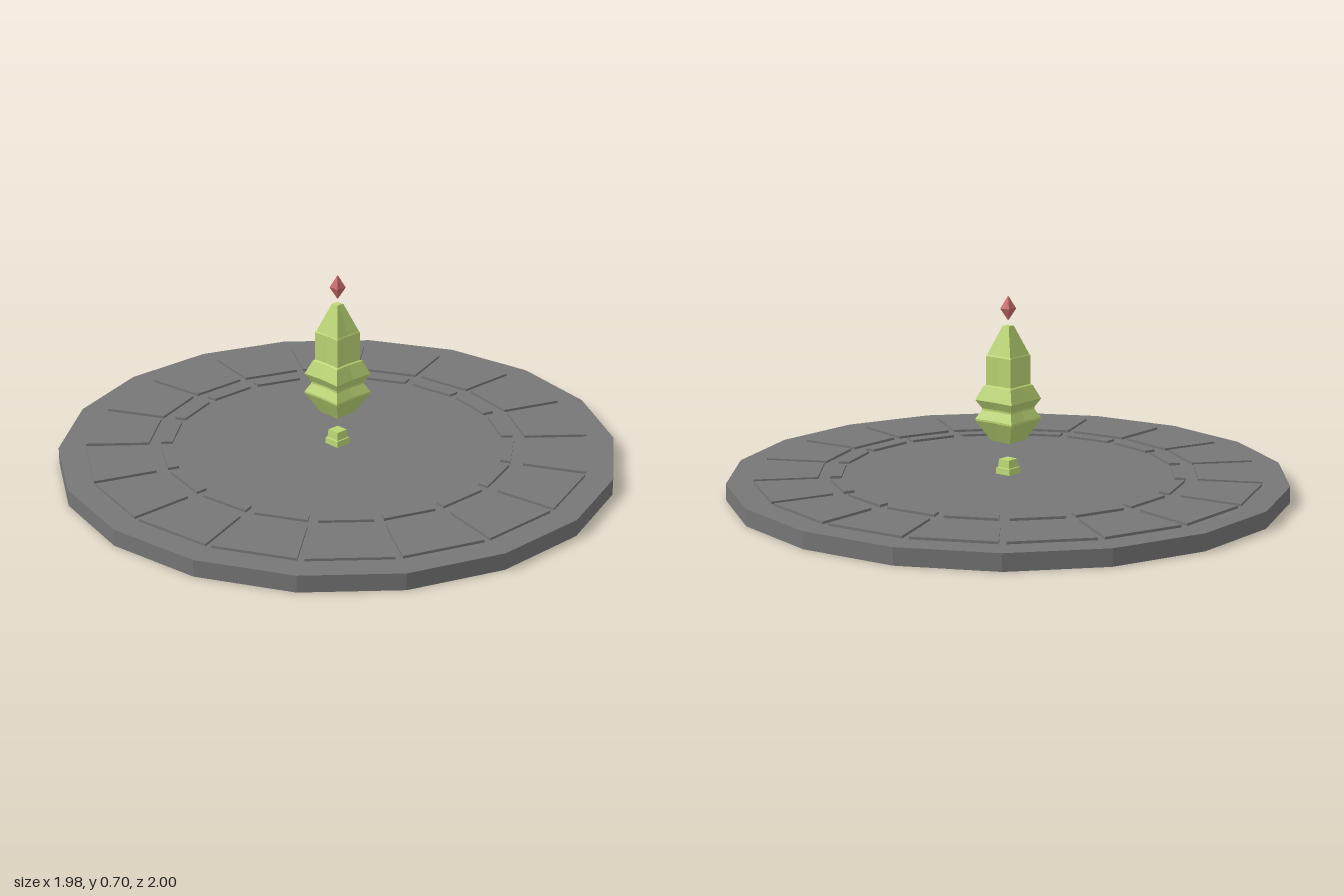
import * as THREE from 'three';

const SIDES = 18;
const STEP = (Math.PI * 2) / SIDES;
const TURN = THREE.MathUtils.degToRad(1.6);

const material = (color) => new THREE.MeshStandardMaterial({ color, flatShading: true });

// Square cross-sections [y, half width] joined upward; side middles are slightly indented
function squareLoft(sections, indent = 0.94) {
  const positions = [];
  const index = [];
  const ring = [[1, 1], [0, indent], [-1, 1], [-indent, 0], [-1, -1], [0, -indent], [1, -1], [indent, 0]];
  for (const [y, w] of sections) for (const [x, z] of ring) positions.push(x * w, y, z * w);
  for (let s = 0; s < sections.length - 1; s++) {
    for (let i = 0; i < 8; i++) {
      const a = s * 8 + i, b = s * 8 + ((i + 1) % 8);
      index.push(a, a + 8, b, b, a + 8, b + 8);
    }
  }
  // end caps
  const bottom = positions.length / 3, top = bottom + 1, last = (sections.length - 1) * 8;
  positions.push(0, sections[0][0], 0, 0, sections[sections.length - 1][0], 0);
  for (let i = 0; i < 8; i++) {
    const j = (i + 1) % 8;
    index.push(bottom, i, j, top, last + j, last + i);
  }
  const geometry = new THREE.BufferGeometry();
  geometry.setAttribute('position', new THREE.Float32BufferAttribute(positions, 3));
  geometry.setIndex(index);
  const flat = geometry.toNonIndexed();
  flat.computeVertexNormals();
  return flat;
}

// One straight-edged paving slab pointing to -z, with parallel gaps to its neighbours
function slabGeometry(inner, outer, gap, height) {
  const half = (r) => r * Math.sin(STEP / 2) - gap / 2;
  const depth = (r) => r * Math.cos(STEP / 2);
  const shape = new THREE.Shape([
    new THREE.Vector2(-half(inner), depth(inner)),
    new THREE.Vector2(half(inner), depth(inner)),
    new THREE.Vector2(half(outer), depth(outer)),
    new THREE.Vector2(-half(outer), depth(outer)),
  ]);
  return new THREE.ExtrudeGeometry(shape, { depth: height, bevelEnabled: false }).rotateX(-Math.PI / 2);
}

export function createModel() {
  const model = new THREE.Group();
  const stone = material(0x777777);
  const green = material(0xbbd674);
  const red = material(0xc96a6a);

  const add = (name, geometry, mat) => {
    const mesh = new THREE.Mesh(geometry, mat);
    mesh.name = name;
    model.add(mesh);
    return mesh;
  };

  // Round platform
  const platform = add('platform', new THREE.CylinderGeometry(1, 1, 0.06, SIDES), stone);
  platform.position.y = 0.03;
  platform.rotation.y = -TURN;

  // Raised rings of slabs
  const rings = [
    ['outerSlabs', 0.68, 0.905, 0.024],
    ['innerSlabs', 0.597, 0.637, 0.034],
  ];
  for (const [name, inner, outer, gap] of rings) {
    const group = new THREE.Group();
    group.name = name;
    const geometry = slabGeometry(inner, outer, gap, 0.014);
    for (let i = 0; i < SIDES; i++) {
      const slab = new THREE.Mesh(geometry, stone);
      slab.name = 'slab';
      slab.position.y = 0.055;
      slab.rotation.y = -(TURN + (i + 0.5) * STEP);
      group.add(slab);
    }
    model.add(group);
  }

  // Small stepped foot on the platform
  add('foot', squareLoft([[0.058, 0.032], [0.082, 0.03], [0.084, 0.026], [0.113, 0.023]], 1), green);

  // Floating spire
  add('spire', squareLoft([
    [0.18, 0.042], [0.255, 0.083], [0.262, 0.083], [0.293, 0.066],
    [0.3, 0.066], [0.33, 0.083], [0.38, 0.062], [0.384, 0.056],
    [0.487, 0.056], [0.492, 0.053], [0.595, 0.014],
  ]), green);

  // Floating gem above the tip
  add('gem', squareLoft([[0.615, 0.001], [0.656, 0.02], [0.7, 0.001]], 0.9), red);

  return model;
}
